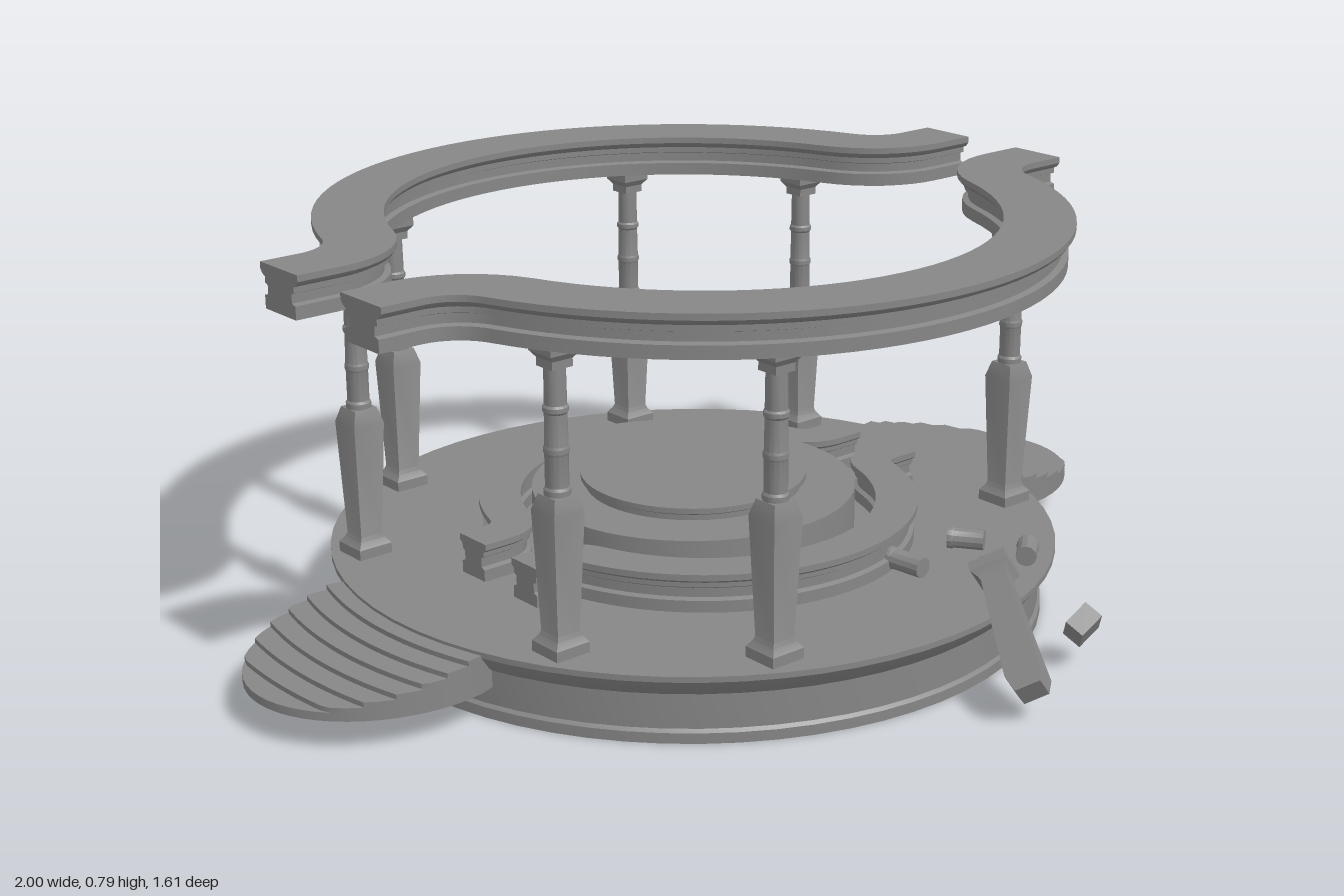
import * as THREE from 'three';
import { toCreasedNormals } from 'three/addons/utils/BufferGeometryUtils.js';

const material = new THREE.MeshStandardMaterial({ color: 0x868686, side: THREE.DoubleSide });
const CX = -0.005, CZ = -0.074, FLOOR = 0.139;

function add(parent, name, geometry, x = 0, y = 0, z = 0) {
  const mesh = new THREE.Mesh(toCreasedNormals(geometry, 0.5), material);
  mesh.name = name;
  mesh.position.set(x, y, z);
  parent.add(mesh);
  return mesh;
}

const lathe = (points, sides) =>
  new THREE.LatheGeometry(points.map(([r, y]) => new THREE.Vector2(r, y)), sides);

// Square turned profile: half-widths become corner radii
function squareLathe(points) {
  const g = lathe(points.map(([r, y]) => [r * Math.SQRT2, y]), 4).toNonIndexed();
  g.rotateY(Math.PI / 4);
  g.computeVertexNormals();
  return g;
}

// Slightly elliptical half ring whose ends flare into straight tails; gives points and normals.
// The moulding narrows to the factor tail at its ends.
function omegaPath(r, fillet, offset, endX, tail) {
  const squash = 0.96;
  const cz = offset + fillet, cx = Math.sqrt((r + fillet) ** 2 - cz ** 2);
  const a0 = Math.atan2(cz, cx);
  const half = [[endX, offset, 0, tail]];
  for (let i = 0; i <= 8; i++) {
    const a = -Math.PI / 2 - (i / 8) * (Math.PI / 2 - a0);
    const w = tail + (1 - tail) * i / 8;
    half.push([squash * (cx + fillet * Math.cos(a)), cz + fillet * Math.sin(a), -w * Math.cos(a), -w * Math.sin(a)]);
  }
  for (let i = 1; i <= 18; i++) {
    const a = a0 + (i / 18) * (Math.PI / 2 - a0);
    half.push([squash * r * Math.cos(a), r * Math.sin(a), Math.cos(a), Math.sin(a)]);
  }
  const other = half.slice(0, -1).reverse().map(([x, z, nx, nz]) => [-x, z, -nx, nz]);
  return [...half, ...other];
}

// Sweep a symmetric moulding [halfWidth, y] along a path, with capped ends
function sweep(path, side) {
  const section = [...side, ...side.slice().reverse().map(([w, y]) => [-w, y])];
  const n = section.length, pos = [], idx = [];
  for (const [x, z, nx, nz] of path)
    for (const [w, y] of section) pos.push(x + nx * w, y, z + nz * w);
  for (let i = 0; i < path.length - 1; i++)
    for (let j = 0; j < n; j++) {
      const a = i * n + j, b = i * n + (j + 1) % n;
      idx.push(a, b, a + n, b, b + n, a + n);
    }
  const caps = THREE.ShapeUtils.triangulateShape(section.map(p => new THREE.Vector2(...p)), []);
  const last = (path.length - 1) * n;
  for (const [a, b, c] of caps) idx.push(a, c, b, last + a, last + b, last + c);
  const g = new THREE.BufferGeometry();
  g.setAttribute('position', new THREE.Float32BufferAttribute(pos, 3));
  g.setIndex(idx);
  g.computeVertexNormals();
  return g;
}

// Column parts, measured up from the floor
const pedestalProfile = [[0, 0], [0.036, 0], [0.036, 0.02], [0.027, 0.032], [0.024, 0.04],
  [0.033, 0.265], [0.024, 0.295], [0, 0.295]];
const shaftProfile = [[0.024, 0.29], [0.024, 0.305], [0.021, 0.31], [0.021, 0.368], [0.023, 0.372],
  [0.023, 0.38], [0.021, 0.384], [0.02, 0.442], [0.023, 0.446], [0.023, 0.454], [0.02, 0.458], [0.019, 0.535]];
const capitalProfile = [[0, 0.525], [0.022, 0.525], [0.022, 0.54], [0.031, 0.552], [0.031, 0.575], [0, 0.575]];

function column() {
  const g = new THREE.Group();
  g.name = 'column';
  add(g, 'pedestal', squareLathe(pedestalProfile));
  add(g, 'shaft', lathe(shaftProfile, 14));
  add(g, 'capital', squareLathe(capitalProfile));
  return g;
}

// One fan-shaped flight of steps, pointing to +x
function steps() {
  const g = new THREE.Group();
  g.name = 'steps';
  const count = 7;
  for (let i = 0; i < count; i++) {
    const reach = 1.0 - i * 0.042;
    const s = new THREE.Shape();
    s.moveTo(0.62, -0.2);
    for (let k = 0; k <= 28; k++) {
      const z = -0.228 * Math.cos((k / 28) * Math.PI);
      const lobe = 0.735 + 0.265 * Math.sqrt(Math.max(0, 1 - (z / 0.228) ** 2));
      s.lineTo(Math.min(lobe, Math.sqrt(reach * reach - z * z)), z);
    }
    s.lineTo(0.68, 0.222);
    s.lineTo(0.62, 0.2);
    s.lineTo(0.62, -0.2);
    const h = i === 0 ? 0.016 : 0.0095;
    const geo = new THREE.ExtrudeGeometry(s, { depth: h, bevelEnabled: false });
    geo.rotateX(-Math.PI / 2);
    add(g, 'step', geo, 0, i === 0 ? 0.06 : 0.0665 + i * 0.0095, 0);
  }
  return g;
}

export function createModel() {
  const model = new THREE.Group();
  model.name = 'ruinedPavilion';
  const body = new THREE.Group();
  body.name = 'pavilion';
  body.position.set(CX, 0, CZ);
  model.add(body);

  // Round platform and central dais
  add(body, 'platform', lathe([[0, 0], [0.687, 0], [0.687, 0.02], [0.681, 0.026], [0.681, 0.092],
    [0.69, 0.1], [0.712, 0.128], [0.712, FLOOR], [0, FLOOR]], 64));
  add(body, 'dais', lathe([[0, FLOOR], [0.318, FLOOR], [0.318, 0.231], [0.212, 0.231],
    [0.212, 0.242], [0.222, 0.247], [0.222, 0.258], [0, 0.258]], 56));

  // Entablature and low bench, each in a front and a back half
  const beam = omegaPath(0.667, 0.16, 0.128, 0.83, 0.9);
  const beamSide = [[0.055, 0.707], [0.055, 0.732], [0.043, 0.735], [0.043, 0.752], [0.052, 0.755],
    [0.052, 0.766], [0.061, 0.77], [0.0675, 0.778], [0.0675, 0.79]];
  const bench = omegaPath(0.399, 0.065, 0.081, 0.485, 1);
  const benchSide = [[0.035, FLOOR], [0.035, 0.162], [0.026, 0.166], [0.026, 0.184], [0.033, 0.188],
    [0.033, 0.197], [0.041, 0.203], [0.041, 0.215]];
  for (const turn of [0, Math.PI]) {
    add(body, 'entablature', sweep(beam, beamSide)).rotation.y = turn;
    add(body, 'bench', sweep(bench, benchSide), 0, 0, 0.013).rotation.y = turn;
  }

  // Seven standing columns; the front left one has fallen
  for (const sx of [-1, 1]) for (const sz of [-1, 1])
    for (const [x, z] of [[0.303, 0.572], [0.568, 0.308]]) {
      if (sx > 0 && sz > 0 && x < z) continue;
      const c = column();
      c.position.set(sx * x, FLOOR, sz * z);
      body.add(c);
    }

  // Mirrored side steps
  for (const turn of [0, Math.PI]) {
    const s = steps();
    s.position.z = -0.076;
    s.rotation.y = turn;
    model.add(s);
  }

  // Fallen column pieces
  const debris = new THREE.Group();
  debris.name = 'fallenColumn';
  model.add(debris);
  const fallen = add(debris, 'fallenPedestal', squareLathe(pedestalProfile), 0.172, 0.202, 0.563);
  fallen.quaternion.setFromUnitVectors(new THREE.Vector3(0, 1, 0),
    new THREE.Vector3(-0.13, -0.13, 0.22).normalize());
  add(debris, 'fallenCapital', new THREE.BoxGeometry(0.055, 0.055, 0.04), 0.298, 0.085, 0.678)
    .rotation.set(0.5, 0.2, 0.5);
  const drums = [[0.135, 0.38, 0.08, 0.1], [0.308, 0.37, 0.07, 0.6],
    [0.25, 0.5, 0.05, 1.3], [0.35, 0.49, 0.06, -0.9]];
  for (const [x, z, length, turn] of drums) {
    const h = length / 2;
    const drum = lathe([[0, -h], [0.022, -h], [0.022, 0.01 - h], [0.02, 0.014 - h], [0.02, h], [0, h]], 12);
    drum.rotateX(Math.PI / 2);
    add(debris, 'fallenDrum', drum, x, FLOOR + 0.022, z).rotation.y = turn;
  }
  return model;
}
